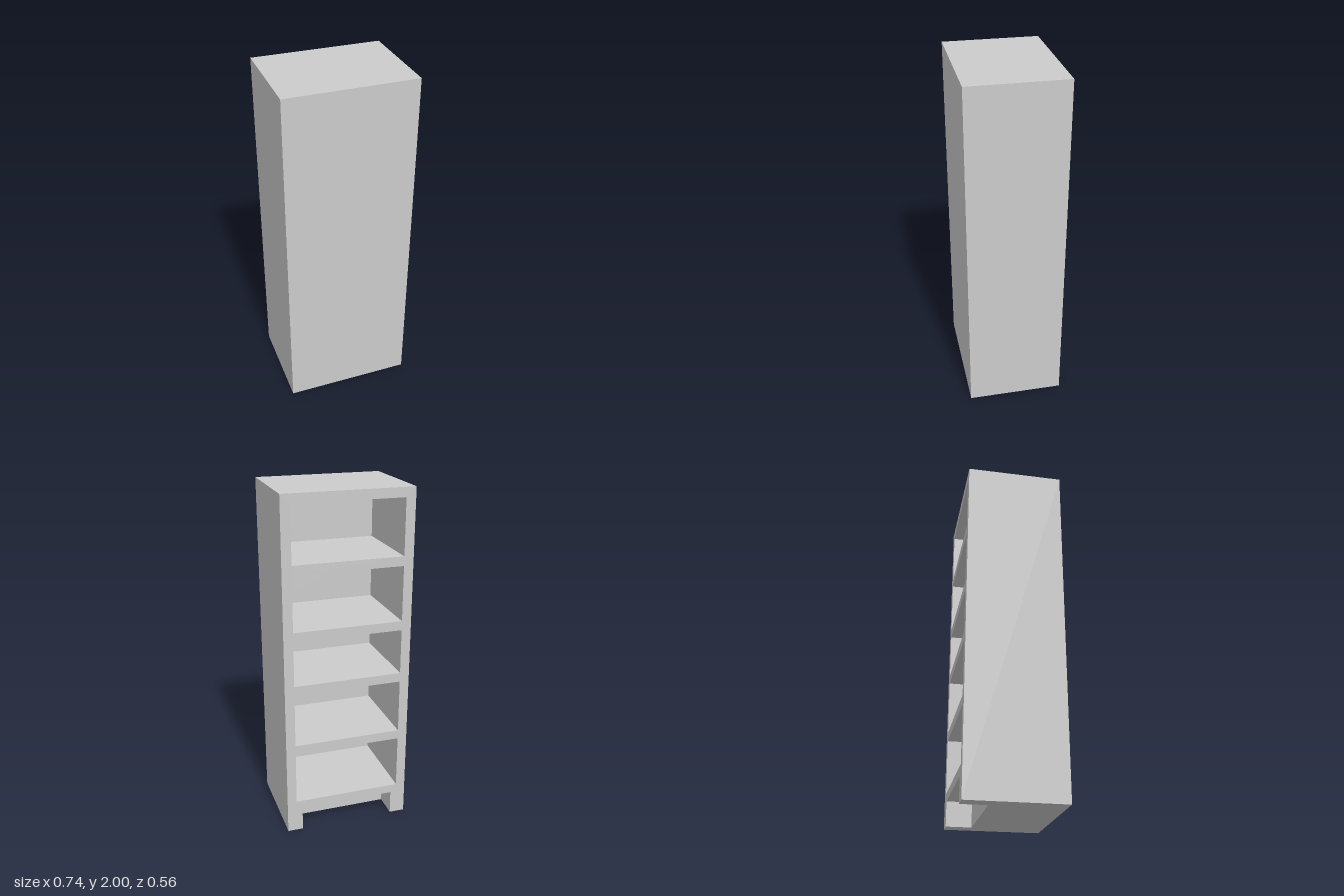
import * as THREE from 'three';

const W = 0.74, H = 2, D = 0.556;   // outer size
const T = 0.054;                    // board thickness
const BACK = -D / 2;                // plane of the open side
const BAYS = [0.318, 0.318, 0.263, 0.318, 0.318];  // bay heights, top to bottom
const KICK = { w: 0.56, h: 0.143, d: 0.147 };      // recess under the lowest shelf

const material = new THREE.MeshStandardMaterial({ color: 0xcccccc });

function add(group, name, geometry) {
  const mesh = new THREE.Mesh(geometry, material);
  mesh.name = name;
  group.add(mesh);
}

// Box without the listed faces (0..5 = +x -x +y -y +z -z); inward turns it inside out
function openBox(w, h, d, dropped, inward) {
  const box = new THREE.BoxGeometry(w, h, d);
  const index = Array.from(box.index.array);
  box.setIndex(index.filter((_, i) => !dropped.includes(Math.floor(i / 6))));
  if (inward) box.scale(-1, 1, 1);
  const geometry = box.toNonIndexed();
  geometry.clearGroups();
  geometry.computeVertexNormals();
  return geometry;
}

function outline(points) {
  return points.map(([x, y]) => new THREE.Vector2(x, y));
}

export function createModel() {
  const cabinet = new THREE.Group();
  cabinet.name = 'cabinet';
  const x = W / 2, k = KICK.w / 2, inner = W / 2 - T - 0.001;

  // Outer sides, top and closed front
  add(cabinet, 'outerCase', openBox(W, H, D, [3, 5], false).translate(0, H / 2, 0));

  // Frame around the open bays, notched at the foot
  const frame = new THREE.Shape(outline([
    [-x, 0], [-k, 0], [-k, KICK.h], [k, KICK.h], [k, 0], [x, 0], [x, H], [-x, H],
  ]));

  // Shelf bays, stacked from the top down
  const depth = D - T;
  let top = H - T;
  BAYS.forEach((h, i) => {
    const bottom = top - h;
    frame.holes.push(new THREE.Path(outline([
      [-inner, bottom], [-inner, top], [inner, top], [inner, bottom],
    ])));
    add(cabinet, `shelfBay${i + 1}`,
      openBox(inner * 2, h, depth, [5], true).translate(0, bottom + h / 2, BACK + depth / 2));
    top = bottom - T;
  });
  add(cabinet, 'shelfFrame',
    new THREE.ShapeGeometry(frame).rotateY(Math.PI).translate(0, 0, BACK));

  // Recess at the foot
  add(cabinet, 'footRecess',
    openBox(KICK.w, KICK.h, KICK.d, [3, 5], true).translate(0, KICK.h / 2, BACK + KICK.d / 2));

  // Underside, cut out around the recess
  const z = BACK + KICK.d;
  const base = new THREE.Shape(outline([
    [-x, BACK], [-k, BACK], [-k, z], [k, z], [k, BACK], [x, BACK], [x, -BACK], [-x, -BACK],
  ]));
  add(cabinet, 'underside', new THREE.ShapeGeometry(base).rotateX(Math.PI / 2));

  return cabinet;
}
